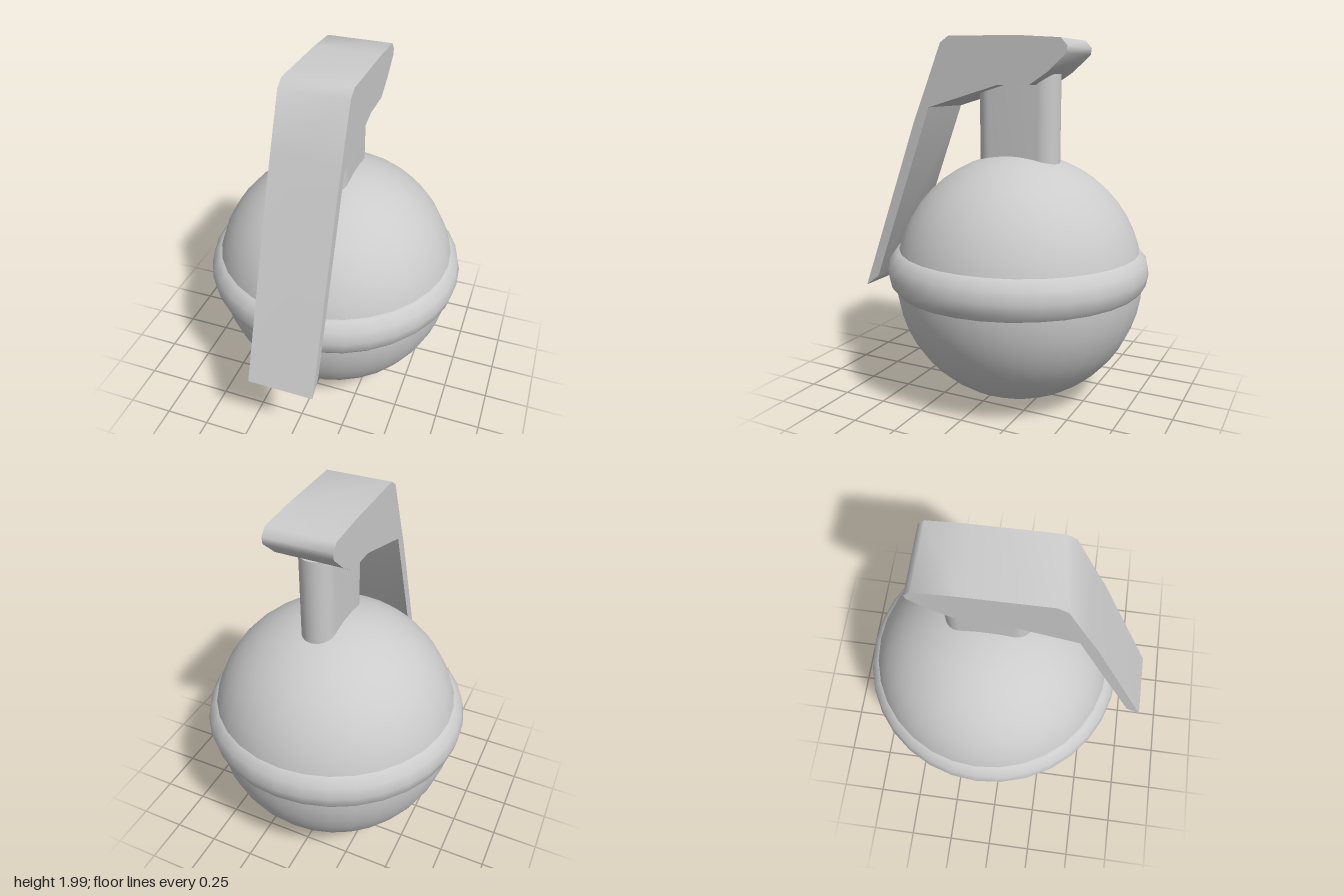
import * as THREE from 'three';
import { toCreasedNormals } from 'three/addons/utils/BufferGeometryUtils.js';

const material = new THREE.MeshStandardMaterial({ color: 0xcccccc });

function addPart(group, name, geometry, x, y, z) {
  const mesh = new THREE.Mesh(geometry, material);
  mesh.name = name;
  mesh.position.set(x, y, z);
  group.add(mesh);
  return mesh;
}

export function createModel() {
  const group = new THREE.Group();
  group.name = 'grenade';

  // Round body
  addPart(group, 'body', new THREE.SphereGeometry(0.685, 32, 24), 0, 0.695, -0.1);

  // Raised band around the middle, slightly taller than it is deep
  const band = new THREE.TorusGeometry(0.62, 0.105, 12, 32);
  band.scale(1, 1, 1.22).rotateX(Math.PI / 2);
  addPart(group, 'band', band, 0, 0.745, -0.093);

  // Neck: a flat post with rounded front and back
  const r = 0.09, straight = 0.23 - r;
  const plan = new THREE.Shape();
  plan.absarc(0, straight, r, 0, Math.PI, false);
  plan.absarc(0, -straight, r, Math.PI, Math.PI * 2, false);
  const neck = new THREE.ExtrudeGeometry(plan, { depth: 0.6, bevelEnabled: false, curveSegments: 12 });
  neck.rotateX(-Math.PI / 2);
  addPart(group, 'neck', toCreasedNormals(neck, 0.7), 0.018, 1.2, -0.11);

  // Lever: side profile (z, y) with a solid head and a long thin handle
  const profile = [
    [0.223, 2.0], [0.276, 1.965], [0.39, 1.69], [0.45, 1.55], [0.815, 0.565],
    [0.73, 0.63], [0.355, 1.625], [-0.06, 1.745], [-0.24, 1.745], [-0.34, 1.81],
    [-0.44, 1.9], [-0.445, 1.935], [-0.41, 1.975], [-0.2, 1.99],
  ].map(([z, y]) => new THREE.Vector2(z, y));
  const width = 0.355;
  const lever = new THREE.ExtrudeGeometry(new THREE.Shape(profile), { depth: width, bevelEnabled: false });
  lever.rotateY(-Math.PI / 2);
  addPart(group, 'lever', toCreasedNormals(lever, 0.9), 0.195, 0, 0);

  return group;
}
